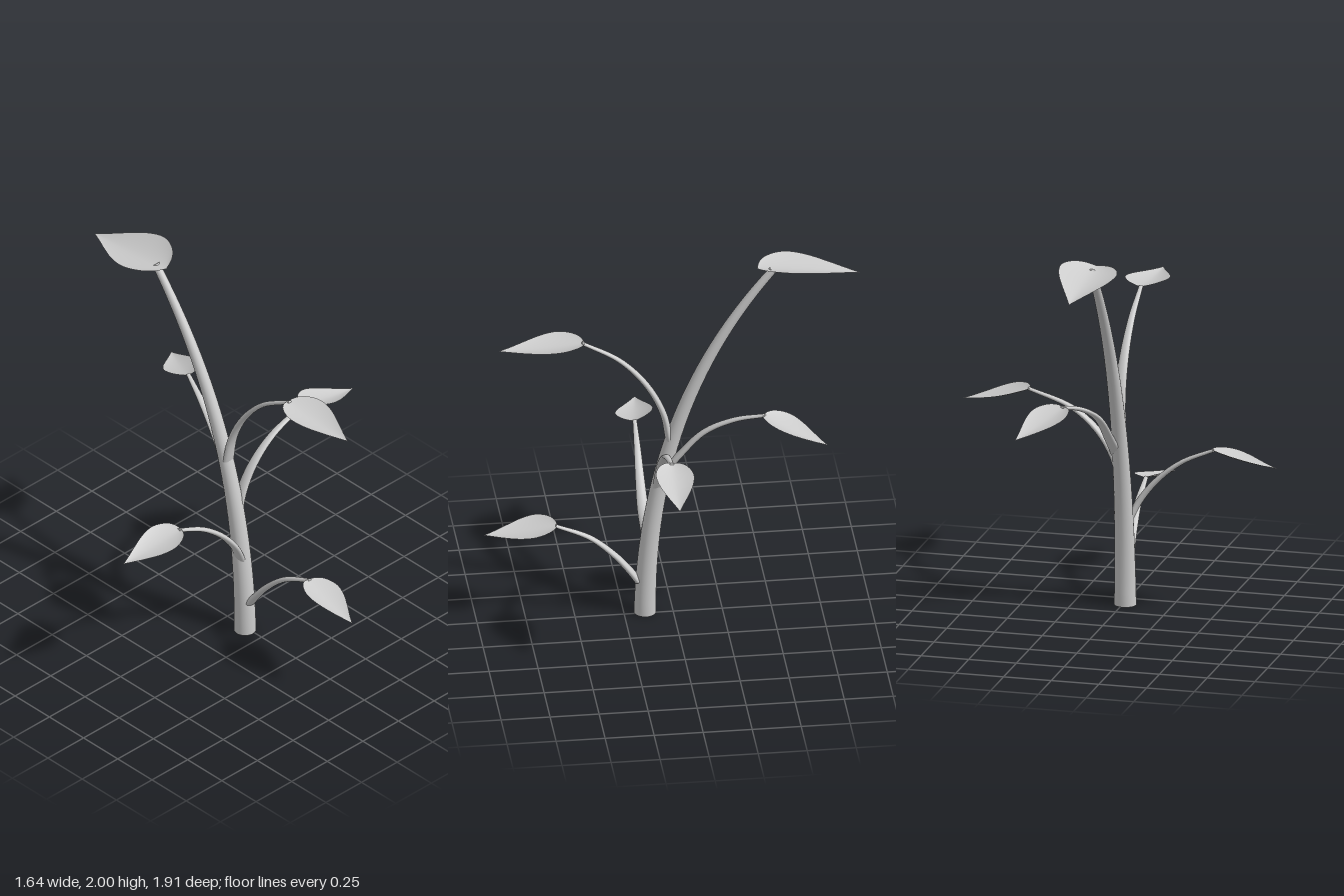
import * as THREE from 'three';

const material = new THREE.MeshStandardMaterial({ color: 0xcccccc, side: THREE.DoubleSide });
const UP = new THREE.Vector3(0, 1, 0);
const vec = (p) => new THREE.Vector3(...p);

function makeMesh(name, positions, index) {
  const g = new THREE.BufferGeometry();
  g.setAttribute('position', new THREE.Float32BufferAttribute(positions, 3));
  g.setIndex(index);
  g.computeVertexNormals();
  const mesh = new THREE.Mesh(g, material);
  mesh.name = name;
  return mesh;
}

// Join consecutive rows of vertices; closed rows wrap around
function gridIndex(rows, cols, closed) {
  const index = [];
  const last = closed ? cols : cols - 1;
  for (let i = 0; i < rows - 1; i++) {
    for (let j = 0; j < last; j++) {
      const k = (j + 1) % cols;
      const a = i * cols + j, b = i * cols + k;
      index.push(a, b, a + cols, b, b + cols, a + cols);
    }
  }
  return index;
}

// Tapered elliptical sweep with flat end caps; radii are [sideways, other]
function sweep(name, curve, side, r0, r1) {
  const steps = 28, sides = 20, pos = [];
  const rows = [[0, 0], [0, 1]];
  for (let i = 0; i <= steps; i++) rows.push([i / steps, 1]);
  rows.push([1, 1], [1, 0]);
  for (const [t, k] of rows) {
    const c = curve.getPointAt(t), tangent = curve.getTangentAt(t);
    const s = side.clone().addScaledVector(tangent, -side.dot(tangent)).normalize();
    const n = tangent.clone().cross(s);
    const rx = k * THREE.MathUtils.lerp(r0[0], r1[0], t);
    const ry = k * THREE.MathUtils.lerp(r0[1], r1[1], t);
    for (let j = 0; j < sides; j++) {
      const a = (j / sides) * Math.PI * 2;
      const p = c.clone().addScaledVector(s, Math.cos(a) * rx).addScaledVector(n, Math.sin(a) * ry);
      pos.push(p.x, p.y, p.z);
    }
  }
  return makeMesh(name, pos, gridIndex(rows.length, sides, true));
}

// Half-width outline of a leaf, from its rounded base to its pointed tip
const outline = new THREE.SplineCurve([
  [0, 0], [0.03, 0.38], [0.1, 0.7], [0.22, 0.94], [0.35, 1], [0.52, 0.85], [0.71, 0.53], [0.87, 0.23], [1, 0],
].map(([t, w]) => new THREE.Vector2(t, w)));

// Thin dished leaf with a sagging midrib, rolled about its length
function leaf(name, { base, tip, half, roll, sag = 0.012, cup = 0.26 }) {
  const a = vec(base), b = vec(tip), pos = [];
  const dir = b.clone().sub(a).normalize();
  const side = dir.clone().cross(UP).normalize().applyAxisAngle(dir, -roll);
  const up = side.clone().cross(dir);
  const rows = 40, cols = 17;
  for (let i = 0; i <= rows; i++) {
    const o = outline.getPoint(i / rows), w = half * Math.max(0, o.y);
    for (let j = 0; j < cols; j++) {
      const s = (j / (cols - 1)) * 2 - 1;
      const lift = cup * w * Math.abs(s) ** 1.7 - sag * 4 * o.x * (1 - o.x);
      const p = a.clone().lerp(b, o.x).addScaledVector(side, s * w).addScaledVector(up, lift);
      pos.push(p.x, p.y, p.z);
    }
  }
  return makeMesh(name, pos, gridIndex(rows + 1, cols, false));
}

export function createModel() {
  const plant = new THREE.Group();
  plant.name = 'plant';

  // Main stem, rising straight and bending back towards the top
  const stemCurve = new THREE.QuadraticBezierCurve3(
    vec([-0.013, 0, 0.142]), vec([-0.013, 1.18, 0.137]), vec([-0.013, 1.945, -0.51]));
  plant.add(sweep('stem', stemCurve, new THREE.Vector3(1, 0, 0), [0.057, 0.057], [0.02, 0.02]));

  plant.add(leaf('topLeaf', {
    base: [-0.015, 1.957, -0.43], tip: [-0.013, 1.9, -0.955], half: 0.147, roll: 0.12, cup: 0.28, sag: 0,
  }));

  // Side branches, each with a leaf at its end
  const branches = [
    { name: 'upperFront',
      path: [[-0.013, 1, 0.02], [-0.011, 1.15, 0.05], [-0.01, 1.32, 0.135], [-0.01, 1.47, 0.27], [-0.008, 1.588, 0.465]],
      base: [-0.007, 1.588, 0.45], tip: [-0.01, 1.568, 0.89], half: 0.112, roll: 0 },
    { name: 'left',
      path: [[0, 0.71, 0.073], [0.04, 0.82, 0.07], [0.12, 0.94, 0.068], [0.25, 1.045, 0.067], [0.475, 1.126, 0.065]],
      base: [0.462, 1.128, 0.06], tip: [0.82, 1.048, 0.065], half: 0.097, roll: 0.06 },
    { name: 'right',
      path: [[-0.03, 0.44, 0.125], [-0.085, 0.55, 0.143], [-0.18, 0.67, 0.147], [-0.31, 0.775, 0.144], [-0.475, 0.851, 0.138]],
      base: [-0.462, 0.855, 0.142], tip: [-0.823, 0.793, 0.097], half: 0.096, roll: 0.14 },
    { name: 'lowerFront',
      path: [[-0.008, 0.19, 0.18], [-0.008, 0.25, 0.222], [-0.006, 0.345, 0.3], [-0.003, 0.455, 0.425], [0.002, 0.538, 0.6]],
      base: [0.004, 0.54, 0.59], tip: [-0.046, 0.482, 0.96], half: 0.099, roll: 0.14 },
    { name: 'back',
      path: [[0.005, 0.82, 0.045], [0.022, 0.91, -0.02], [0.05, 1.06, -0.15], [0.1, 1.15, -0.3], [0.158, 1.198, -0.45]],
      base: [0.152, 1.2, -0.44], tip: [0.325, 1.098, -0.75], half: 0.1, roll: 0.1 },
  ];
  for (const b of branches) {
    const group = new THREE.Group();
    group.name = b.name + 'Branch';
    const points = b.path.map(vec);
    const side = points[4].clone().sub(points[0]).cross(UP).normalize();
    group.add(sweep(b.name + 'Stalk', new THREE.CatmullRomCurve3(points), side, [0.035, 0.019], [0.011, 0.009]));
    group.add(leaf(b.name + 'Leaf', b));
    plant.add(group);
  }
  return plant;
}
